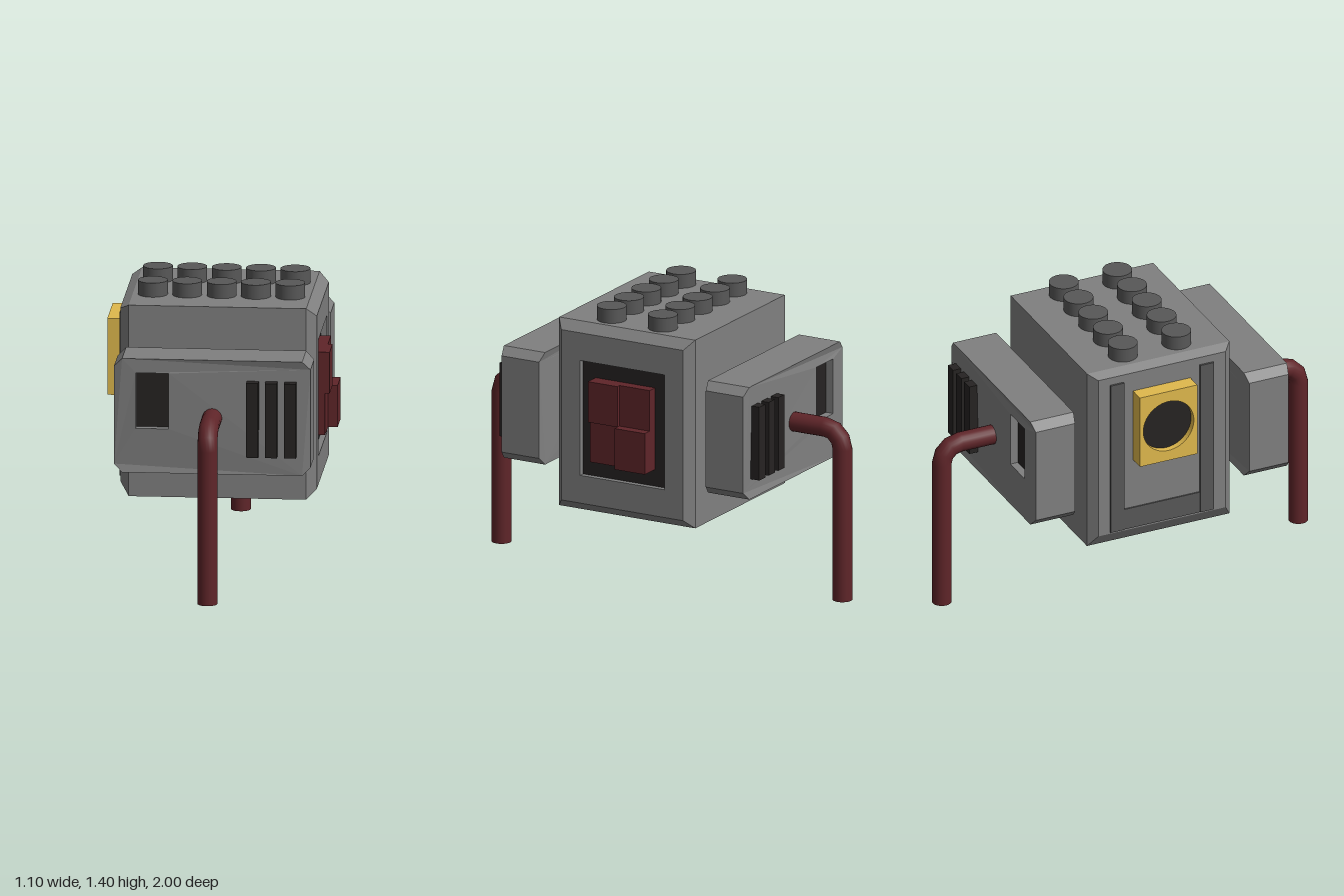
import * as THREE from 'three';

const paint = (color) => new THREE.MeshStandardMaterial({ color, flatShading: true });
const GREY = paint(0x808080), STUD = paint(0x585858), BLACK = paint(0x262322), YELLOW = paint(0xe0b94d);
const RED = paint(0x5f2529);
const PIPE = new THREE.MeshStandardMaterial({ color: 0x5f2529 });
const STUD_ROUND = new THREE.MeshStandardMaterial({ color: 0x585858 });

function add(parent, name, geometry, material, x = 0, y = 0, z = 0) {
  const mesh = new THREE.Mesh(geometry, material);
  mesh.name = name;
  mesh.position.set(x, y, z);
  parent.add(mesh);
  return mesh;
}

// box given by its minimum and maximum on each axis
function slab(parent, name, material, [x0, x1], [y0, y1], [z0, z1]) {
  return add(parent, name, new THREE.BoxGeometry(x1 - x0, y1 - y0, z1 - z0), material,
    (x0 + x1) / 2, (y0 + y1) / 2, (z0 + z1) / 2);
}

// joins rectangular sections [x, centreY, halfY, halfZ] along x, capped at both ends
function loftBox(sections) {
  const pos = [];
  const rings = sections.map(([x, cy, h, d]) =>
    [[-h, -d], [h, -d], [h, d], [-h, d]].map(([y, z]) => [x, cy + y, z]));
  const quad = (a, b, c, d) => pos.push(...a, ...b, ...c, ...a, ...c, ...d);
  quad(...[...rings[0]].reverse());
  for (let i = 0; i + 1 < rings.length; i++) {
    for (let k = 0; k < 4; k++) {
      const n = (k + 1) % 4;
      quad(rings[i][k], rings[i][n], rings[i + 1][n], rings[i + 1][k]);
    }
  }
  quad(...rings[rings.length - 1]);
  const geometry = new THREE.BufferGeometry();
  geometry.setAttribute('position', new THREE.Float32BufferAttribute(pos, 3));
  geometry.computeVertexNormals();
  return geometry;
}

function polygon(points) {
  return new THREE.Shape(points.map(([x, y]) => new THREE.Vector2(x, y)));
}

// pod with chamfered ends, a sunken window and three vents; s = -1 swaps its ends
function makePod(s) {
  const pod = new THREE.Group();
  pod.name = 'sidePod';
  const X = 0.476, H = 0.283, C = 0.04, D = 0.115;
  const outline = polygon([[-X, C - H], [C - X, -H], [X - C, -H], [X, C - H],
    [X, H - C], [X - C, H], [C - X, H], [-X, H - C]]);
  const wx = -0.29 * s, w = 0.08, y0 = -0.063, y1 = 0.213;
  outline.holes.push(polygon([[wx - w, y0], [wx - w, y1], [wx + w, y1], [wx + w, y0]]));
  const shell = new THREE.ExtrudeGeometry(outline, { depth: 2 * D, bevelEnabled: false });
  shell.translate(0, 0, -D);
  // narrow the two ends slightly
  const p = shell.attributes.position;
  for (let i = 0; i < p.count; i++) if (Math.abs(p.getX(i)) > X - 0.01) p.setZ(i, p.getZ(i) * 0.91);
  shell.computeVertexNormals();
  add(pod, 'podShell', shell, GREY);
  slab(pod, 'windowBacking', GREY, [wx - w, wx + w], [y0, y1], [-D, 0.05]);
  slab(pod, 'window', BLACK, [wx - w, wx + w], [y0, y1], [0.05, 0.075]);
  for (const x of [0.197, 0.288, 0.38]) {
    add(pod, 'vent', new THREE.BoxGeometry(0.058, 0.37, 0.05), BLACK, x * s, -0.003, 0.13);
  }
  return pod;
}

// horizontal bar, coarse elbow and upright leg
function makePipe() {
  const pipe = new THREE.Group();
  pipe.name = 'pipeLeg';
  const r = 0.048, bend = 0.095, z = 0.857, y = 0.762;
  add(pipe, 'pipeBar', new THREE.CylinderGeometry(r, r, z, 20), PIPE, 0, y + bend, z / 2).rotation.x = Math.PI / 2;
  add(pipe, 'pipeElbow', new THREE.TorusGeometry(bend, r, 20, 3, Math.PI / 2), PIPE, 0, y, z).rotation.y = -Math.PI / 2;
  add(pipe, 'pipeUpright', new THREE.CylinderGeometry(r, r, y, 20), PIPE, 0, y / 2, z + bend);
  return pipe;
}

export function createModel() {
  const model = new THREE.Group();
  model.name = 'model';

  // main body with chamfered ends and a recess in its left end
  add(model, 'body', loftBox([
    [-0.474, 0.88, 0.43, 0.34], [-0.43, 0.86, 0.475, 0.38], [0.43, 0.86, 0.475, 0.38],
    [0.478, 0.86, 0.43, 0.34], [0.478, 0.86, 0.29, 0.235], [0.445, 0.86, 0.29, 0.235],
  ]), GREY);

  // studs on the roof
  for (let i = -2; i <= 2; i++) {
    for (const z of [-0.143, 0.143]) {
      add(model, 'stud', new THREE.CylinderGeometry(0.072, 0.072, 0.08, 32), STUD_ROUND, i * 0.1665, 1.365, z);
    }
  }

  // dark panel and four stepped blocks in the recess
  slab(model, 'recessPanel', BLACK, [0.44, 0.45], [0.57, 1.15], [-0.235, 0.235]);
  const low = [0.655, 0.862], high = [0.862, 1.067], back = [-0.168, 0], front = [0, 0.165];
  for (const [x, y, z] of [[0.525, high, front], [0.503, high, back], [0.503, low, front], [0.55, low, back]]) {
    slab(model, 'redBlock', RED, [0.445, x], y, z);
  }

  // trim strips on the other end
  for (const z of [[-0.278, -0.205], [0.2, 0.273]]) slab(model, 'trimStrip', STUD, [-0.484, -0.46], [0.46, 1.27], z);
  slab(model, 'trimBase', STUD, [-0.481, -0.46], [0.46, 0.57], [-0.21, 0.205]);

  // yellow socket with a round opening
  const plate = polygon([[-0.153, -0.19], [0.153, -0.19], [0.153, 0.19], [-0.153, 0.19]]);
  plate.holes.push(new THREE.Path().absarc(0, 0, 0.135, 0, Math.PI * 2, true));
  const socket = new THREE.ExtrudeGeometry(plate, { depth: 0.083, bevelEnabled: false, curveSegments: 32 });
  add(model, 'socket', socket, YELLOW, -0.47, 1.02, -0.002).rotation.y = -Math.PI / 2;
  add(model, 'socketCore', new THREE.CylinderGeometry(0.136, 0.136, 0.05, 32), BLACK, -0.497, 1.02, -0.002)
    .rotation.z = Math.PI / 2;

  // pods and pipes, mirrored front to back
  for (const s of [1, -1]) {
    const side = new THREE.Group();
    side.name = s > 0 ? 'frontSide' : 'backSide';
    const pod = makePod(s);
    pod.position.set(0, 0.862, 0.57);
    side.add(pod, makePipe());
    side.rotation.y = s > 0 ? 0 : Math.PI;
    model.add(side);
  }
  return model;
}
